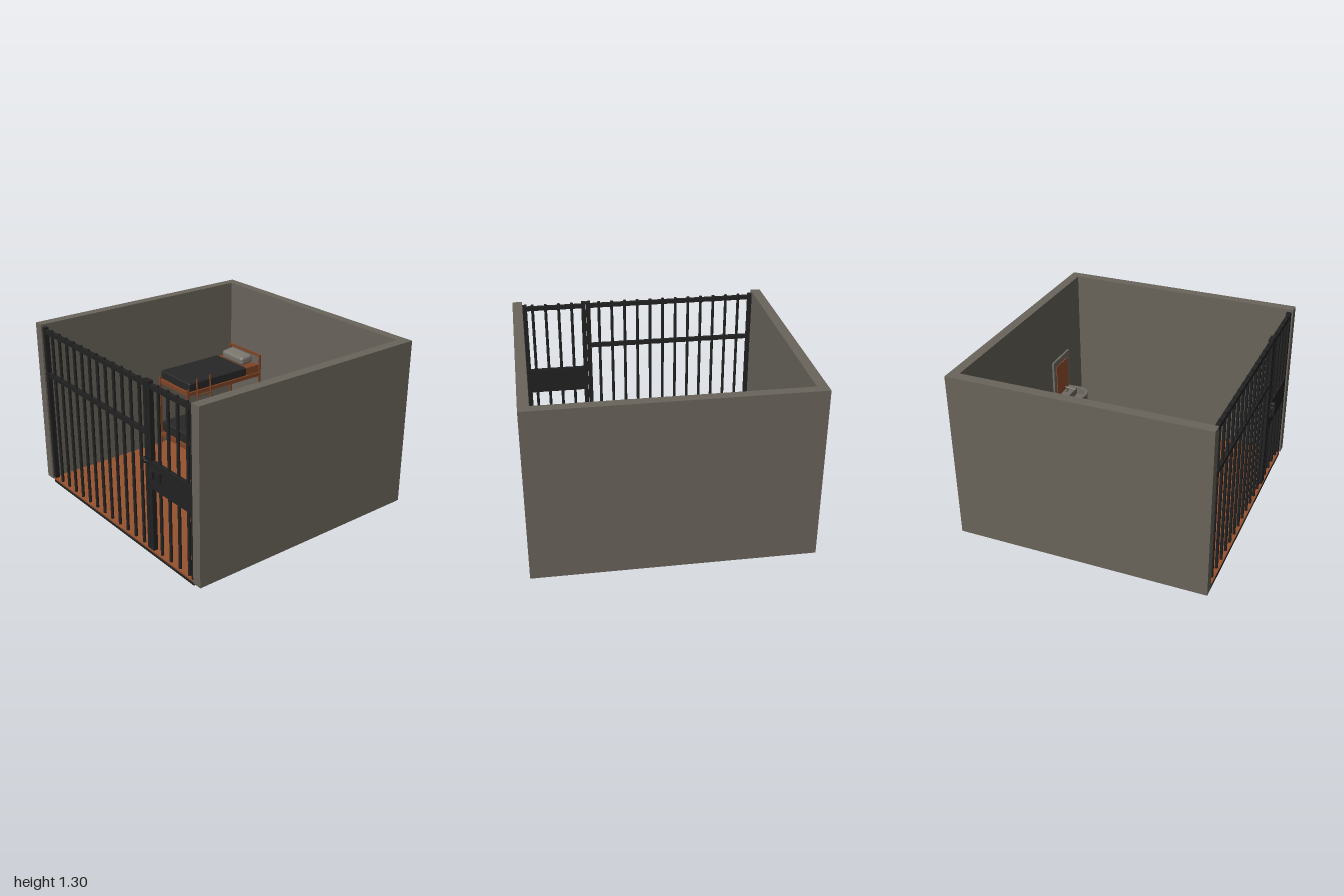
import * as THREE from 'three';
import { RoundedBoxGeometry } from 'three/addons/geometries/RoundedBoxGeometry.js';

const mat = (name, color) => {
  const m = new THREE.MeshStandardMaterial({ color });
  m.name = name;
  return m;
};

export function createModel() {
  const root = new THREE.Group();
  root.name = 'prisonCell';
  const wall = mat('concrete', 0x69645b);
  const clay = mat('terracotta floor', 0x96522e);
  const wood = mat('brown frame', 0x7d4325);
  const iron = mat('black iron', 0x222222);
  const cloth = mat('dark blanket', 0x272727);
  const white = mat('grey ceramic', 0x706b64);
  const linen = mat('pillow linen', 0x7a756d);

  const group = (name) => {
    const g = new THREE.Group();
    g.name = name;
    root.add(g);
    return g;
  };
  const add = (parent, name, geo, m, x = 0, y = 0, z = 0) => {
    const mesh = new THREE.Mesh(geo, m);
    mesh.name = name;
    mesh.position.set(x, y, z);
    parent.add(mesh);
    return mesh;
  };
  // Box given by its minimum and maximum on each axis
  const box = (parent, name, m, x0, x1, y0, y1, z0, z1, r = 0) => {
    const s = [x1 - x0, y1 - y0, z1 - z0];
    const geo = r ? new RoundedBoxGeometry(...s, 3, r) : new THREE.BoxGeometry(...s);
    return add(parent, name, geo, m, (x0 + x1) / 2, (y0 + y1) / 2, (z0 + z1) / 2);
  };
  // Round rod between two points
  const rod = (parent, name, m, a, b, r, sides = 12) => {
    const p = new THREE.Vector3(...a), q = new THREE.Vector3(...b);
    const d = q.clone().sub(p);
    const mesh = add(parent, name, new THREE.CylinderGeometry(r, r, d.length(), sides), m);
    mesh.position.copy(p).add(q).multiplyScalar(0.5);
    mesh.quaternion.setFromUnitVectors(new THREE.Vector3(0, 1, 0), d.normalize());
    return mesh;
  };

  // Room shell
  const shell = group('room');
  box(shell, 'backWall', wall, -1, 1, 0.025, 1.3, -0.957, -0.885);
  for (const s of [-1, 1]) {
    const x = s * 0.9625;
    box(shell, s > 0 ? 'leftWall' : 'rightWall', wall, x - 0.0375, x + 0.0375, 0.025, 1.3, -0.885, 0.923);
  }
  box(shell, 'floor', clay, -0.925, 0.925, 0.022, 0.035, -0.885, 0.915);

  // Barred front with rails and posts
  const front = group('barredFront');
  const zb = 0.894;
  for (let i = 0; i < 12; i++) {
    const x = -0.815 + i * 0.1033;
    rod(front, 'bar', iron, [x, 0.03, zb], [x, 1.28, zb], 0.0115);
  }
  box(front, 'bottomRail', iron, -0.91, 0.92, 0, 0.021, 0.88, 0.915);
  box(front, 'topRail', iron, -0.92, 0.39, 1.235, 1.267, 0.88, 0.908);
  box(front, 'middleRail', iron, -0.92, 0.39, 0.893, 0.925, 0.88, 0.908);
  box(front, 'endPost', iron, -0.93, -0.895, 0.03, 1.28, 0.876, 0.911);
  box(front, 'doorPost', iron, 0.39, 0.423, 0.01, 1.285, 0.876, 0.911);

  // Cell door
  const door = group('cellDoor');
  box(door, 'lockStile', iron, 0.427, 0.46, 0.015, 1.285, 0.876, 0.911);
  box(door, 'hingeStile', iron, 0.89, 0.925, 0.015, 1.28, 0.876, 0.911);
  box(door, 'doorTopRail', iron, 0.46, 0.89, 1.235, 1.267, 0.88, 0.908);
  box(door, 'lockPanel', iron, 0.455, 0.9, 0.52, 0.72, 0.88, 0.911);
  for (let i = 0; i < 4; i++) {
    const x = 0.538 + i * 0.103;
    rod(door, 'doorBar', iron, [x, 0.03, zb], [x, 1.28, zb], 0.0115);
  }
  box(door, 'lockPlate', iron, 0.45, 0.575, 0.61, 0.68, 0.911, 0.926);
  box(door, 'lockCase', iron, 0.465, 0.51, 0.615, 0.67, 0.926, 0.942);
  for (const x of [0.418, 0.434]) {
    const ring = add(door, 'pullRing', new THREE.TorusGeometry(0.018, 0.004, 8, 24), iron, x, 0.73, 0.935);
    ring.rotation.y = Math.PI / 2;
  }

  // Bunk bed
  const bed = group('bunkBed');
  for (const x of [-0.917, -0.533]) {
    box(bed, 'headPost', wood, x - 0.008, x + 0.008, 0.035, 0.767, -0.884, -0.868);
    box(bed, 'footPost', wood, x - 0.008, x + 0.008, 0.035, 0.64, -0.132, -0.116);
  }
  box(bed, 'headRail', wood, -0.925, -0.525, 0.75, 0.767, -0.884, -0.868);
  for (const [y0, y1, y2, yp] of [[0.1, 0.135, 0.23, 0.285], [0.583, 0.615, 0.69, 0.762]]) {
    box(bed, 'bedFrame', wood, -0.925, -0.525, y0, y1, -0.88, -0.118);
    box(bed, 'mattress', wood, -0.915, -0.537, y1, y2 - 0.01, -0.868, -0.14);
    box(bed, 'blanket', cloth, -0.922, -0.53, y1 + 0.003, y2, -0.73, -0.135, 0.012);
    const pillow = box(bed, 'pillow', linen, -0.87, -0.605, y2 - 0.012, yp - 0.01, -0.86, -0.74, 0.024);
    pillow.rotation.x = 0.12;
  }

  // Leaning ladder
  const ladder = group('ladder');
  const lx = (y) => -0.474 - (y - 0.022) * 0.075;
  for (const z of [-0.342, -0.208]) {
    rod(ladder, 'ladderRail', wood, [lx(0.02), 0.02, z], [lx(0.72), 0.72, z], 0.007);
  }
  for (let i = 1; i <= 5; i++) {
    const y = i * 0.115;
    rod(ladder, 'rung', wood, [lx(y), y, -0.342], [lx(y), y, -0.208], 0.006);
  }

  // Toilet
  const toilet = group('toilet');
  const profile = [[0, 0.035], [0.042, 0.035], [0.04, 0.06], [0.032, 0.1], [0.05, 0.125], [0.064, 0.165],
    [0.067, 0.19], [0.05, 0.19], [0.045, 0.16], [0.025, 0.125], [0, 0.12]];
  const bowl = add(toilet, 'bowl',
    new THREE.LatheGeometry(profile.map((p) => new THREE.Vector2(...p)), 32), white, -0.013, 0, -0.68);
  bowl.scale.z = 1.4;
  const seat = add(toilet, 'seat', new THREE.TorusGeometry(0.055, 0.012, 8, 32), white, -0.013, 0.194, -0.68);
  seat.rotation.x = Math.PI / 2;
  seat.scale.set(1, 1.4, 0.6);
  const lid = add(toilet, 'lid', new THREE.CylinderGeometry(0.069, 0.069, 0.01, 32), white, -0.013, 0.295, -0.772);
  lid.rotation.x = Math.PI / 2;
  lid.scale.z = 1.4;
  box(toilet, 'tank', white, -0.08, 0.055, 0.15, 0.285, -0.845, -0.785, 0.015);
  box(toilet, 'tankLid', white, -0.093, 0.068, 0.28, 0.305, -0.852, -0.78, 0.01);
  box(toilet, 'tankFoot', white, -0.04, 0.015, 0.035, 0.16, -0.83, -0.72, 0.01);

  // Washbasin with pedestal, tap and wall panel
  const sink = group('washbasin');
  // D outline: flat at the wall side, round towards the room
  const dShape = (C, w, z0, z1, z2) => {
    const s = new C();
    s.moveTo(-w, z0);
    s.lineTo(w, z0);
    s.lineTo(w, z1);
    s.bezierCurveTo(w * 0.85, z2 + 0.008, -w * 0.85, z2 + 0.008, -w, z1);
    s.lineTo(-w, z0);
    return s;
  };
  const slab = (name, shape, top, depth) => {
    const geo = new THREE.ExtrudeGeometry(shape, { depth, bevelEnabled: false, curveSegments: 16 });
    return add(sink, name, geo.rotateX(Math.PI / 2), white, 0.53, top, -0.875);
  };
  const rim = dShape(THREE.Shape, 0.122, 0, 0.13, 0.235);
  rim.holes.push(dShape(THREE.Path, 0.095, 0.09, 0.13, 0.205));
  slab('basinRim', rim, 0.43, 0.055);
  slab('basinBody', dShape(THREE.Shape, 0.115, 0, 0.12, 0.215), 0.375, 0.075);
  box(sink, 'pedestal', white, 0.458, 0.604, 0.02, 0.3, -0.87, -0.76, 0.012);
  box(sink, 'backPanel', white, 0.39, 0.674, 0.38, 0.75, -0.885, -0.868);
  box(sink, 'panelInset', clay, 0.43, 0.63, 0.43, 0.7, -0.868, -0.863);
  rod(sink, 'tapStem', white, [0.53, 0.43, -0.83], [0.53, 0.48, -0.83], 0.008);
  rod(sink, 'tapSpout', white, [0.53, 0.475, -0.84], [0.53, 0.465, -0.75], 0.008);
  rod(sink, 'tapHandles', white, [0.495, 0.45, -0.825], [0.565, 0.45, -0.825], 0.006);

  return root;
}
